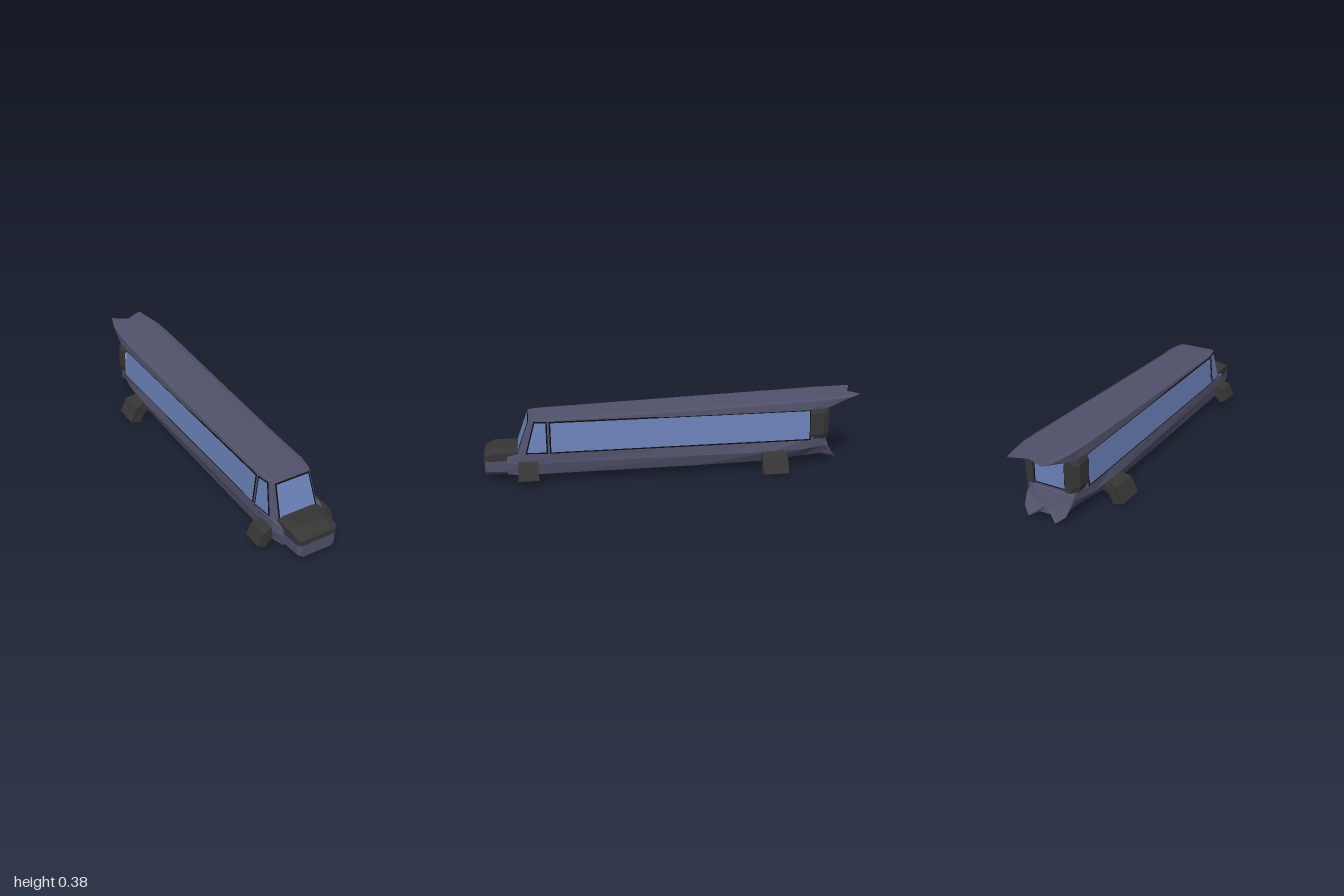
import * as THREE from 'three';

const COLORS = { hull: 0x50506a, dark: 0x363636, black: 0x0c0c0c, glass: 0x6a80b8, trim: 0xb4b4ac };
const mats = {};
for (const k in COLORS) {
  mats[k] = new THREE.MeshStandardMaterial({ color: COLORS[k], flatShading: true });
}

function meshFrom(name, mat, positions) {
  const g = new THREE.BufferGeometry();
  g.setAttribute('position', new THREE.Float32BufferAttribute(positions, 3));
  g.computeVertexNormals();
  const m = new THREE.Mesh(g, mats[mat]);
  m.name = name;
  return m;
}

// Closed solid through rings of [x, y, z] points; triangles are turned outward by signed volume
function loft(name, mat, rings) {
  const tris = [];
  const n = rings[0].length;
  for (let r = 0; r < rings.length - 1; r++) {
    for (let i = 0; i < n; i++) {
      const j = (i + 1) % n, a = rings[r], b = rings[r + 1];
      tris.push([a[i], a[j], b[j]], [a[i], b[j], b[i]]);
    }
  }
  const centre = ring => [0, 1, 2].map(k => ring.reduce((s, p) => s + p[k], 0) / n);
  const first = rings[0], last = rings[rings.length - 1];
  const c0 = centre(first), c1 = centre(last);
  for (let i = 0; i < n; i++) {
    const j = (i + 1) % n;
    tris.push([c0, first[j], first[i]], [c1, last[i], last[j]]);
  }
  let volume = 0;
  const v = [new THREE.Vector3(), new THREE.Vector3(), new THREE.Vector3()];
  for (const t of tris) {
    t.forEach((p, i) => v[i].fromArray(p));
    volume += v[0].dot(v[1].cross(v[2]));
  }
  if (volume < 0) tris.forEach(t => t.reverse());
  return meshFrom(name, mat, tris.flat(2));
}

// Mirror a half section (centre bottom to centre top) into a full ring; z is the default depth
function section(z, half) {
  const right = half.map(([x, y, pz = z]) => [x, y, pz]);
  const left = right.slice(1, -1).reverse().map(([x, y, pz]) => [-x, y, pz]);
  return right.concat(left);
}

const flip = pts => pts.map(([x, y, z]) => [-x, y, z]).reverse();

// Flat pane: corners shrunk by margin and lifted along the face normal
function pane(name, mat, corners, margin, lift) {
  const p = corners.map(c => new THREE.Vector3(...c));
  const n = p.length;
  const normal = p[1].clone().sub(p[0]).cross(p[n - 1].clone().sub(p[0])).normalize();
  const q = p.map((c, i) => {
    const a = p[(i + 1) % n].clone().sub(c).normalize();
    const b = p[(i + n - 1) % n].clone().sub(c).normalize();
    return c.clone().addScaledVector(a, margin).addScaledVector(b, margin).addScaledVector(normal, lift);
  });
  const pos = [];
  for (let i = 1; i < n - 1; i++) for (const c of [q[0], q[i], q[i + 1]]) pos.push(c.x, c.y, c.z);
  return meshFrom(name, mat, pos);
}

function windowPane(name, corners, margin) {
  const g = new THREE.Group();
  g.name = name;
  g.add(pane('windowFrame', 'black', corners, margin, 0.002));
  g.add(pane('windowGlass', 'glass', corners, margin + 0.007, 0.004));
  return g;
}

export function createModel() {
  const model = new THREE.Group();
  model.name = 'hoverLimousine';

  // Lower hull, ending in a forked skirt
  const hullSection = (z, bottomX, midX, topX, bottomY = 0.05, topY = 0.158) => section(z, [
    [0, bottomY], [0.035, bottomY], [0.075, bottomY], [bottomX, bottomY],
    [midX, 0.11], [topX, topY], [0, topY]]);
  model.add(loft('lowerHull', 'hull', [
    hullSection(0.885, 0.115, 0.122, 0.112, 0.05, 0.145),
    hullSection(0.82, 0.136, 0.144, 0.138),
    hullSection(0.66, 0.138, 0.147, 0.145),
    hullSection(-0.1, 0.14, 0.158, 0.15),
    hullSection(-0.5, 0.138, 0.168, 0.154, 0.053),
    hullSection(-0.68, 0.115, 0.152, 0.152, 0.062),
    section(-0.8, [[0, 0.058], [0.035, 0.058], [0.075, 0.053], [0.105, 0.066], [0.132, 0.12], [0.135, 0.16], [0, 0.16]]),
    section(-0.82, [[0, 0.044, -0.855], [0.03, 0.044, -0.855], [0.075, 0.027, -0.89],
      [0.115, 0.056, -0.86], [0.125, 0.11, -0.825], [0.1, 0.15, -0.815], [0, 0.15, -0.815]]),
  ]));

  // Nose with a dark hood
  const noseSection = (z, w) => section(z, [[0, 0.05], [w - 0.012, 0.05], [w, 0.065], [w, 0.123], [0, 0.123]]);
  model.add(loft('nose', 'hull', [
    noseSection(0.8, 0.122), noseSection(0.9, 0.114), noseSection(0.985, 0.106), noseSection(0.998, 0.092)]));
  const hoodSection = (z, w, shoulder, crown, crownW) => section(z, [
    [0, 0.121], [w, 0.121], [w, shoulder], [crownW, crown], [0, crown]]);
  model.add(loft('hood', 'dark', [
    hoodSection(0.815, 0.114, 0.164, 0.17, 0.085),
    hoodSection(0.88, 0.115, 0.167, 0.179, 0.072),
    hoodSection(0.945, 0.111, 0.165, 0.185, 0.062),
    hoodSection(0.985, 0.108, 0.152, 0.163, 0.075),
    hoodSection(1.0, 0.095, 0.147, 0.15, 0.08),
  ]));

  // Cabin walls: matching points along the sill and the roof line, from front to back
  const sill = [[0.112, 0.155, 0.83], [0.13, 0.155, 0.795], [0.143, 0.155, 0.67], [0.153, 0.155, -0.72], [0.1, 0.155, -0.808]];
  const eave = [[0.1, 0.33, 0.765], [0.112, 0.33, 0.745], [0.126, 0.33, 0.67], [0.136, 0.33, -0.72], [0.1, 0.33, -0.808]];
  model.add(loft('cabin', 'hull', [sill.concat(flip(sill)), eave.concat(flip(eave))]));

  // Windows
  const wall = i => [sill[i], sill[i + 1], eave[i + 1], eave[i]];
  for (const [i, name] of [[1, 'quarterWindow'], [2, 'sideWindow']]) {
    model.add(windowPane(name + 'Left', wall(i), 0.005));
    model.add(windowPane(name + 'Right', flip(wall(i)), 0.005));
  }
  const mirror = ([x, y, z]) => [-x, y, z];
  model.add(windowPane('windshield', [mirror(sill[0]), sill[0], eave[0], mirror(eave[0])], 0.004));
  model.add(windowPane('rearWindow', [sill[4], mirror(sill[4]), mirror(eave[4]), eave[4]], 0.012));

  // Roof, rising towards a swallow tail
  const roofSection = (z, bottomX, sideX, crownX, bottomY, sideY, crownY) => section(z, [
    [0, bottomY], [0.035, bottomY], [crownX - 0.01, bottomY], [bottomX, bottomY],
    [sideX, sideY], [crownX, crownY], [0.035, crownY], [0, crownY]]);
  model.add(loft('roof', 'hull', [
    roofSection(0.768, 0.104, 0.102, 0.092, 0.322, 0.328, 0.331),
    roofSection(0.7, 0.124, 0.12, 0.104, 0.322, 0.33, 0.335),
    roofSection(-0.1, 0.136, 0.132, 0.11, 0.322, 0.348, 0.358),
    roofSection(-0.7, 0.142, 0.136, 0.108, 0.323, 0.368, 0.376),
    roofSection(-0.82, 0.132, 0.132, 0.103, 0.332, 0.373, 0.381),
    section(-0.95, [[0, 0.379, -0.952], [0.035, 0.379, -0.952], [0.09, 0.383, -0.998], [0.113, 0.37, -0.93],
      [0.114, 0.376, -0.93], [0.091, 0.387, -1.0], [0.035, 0.384, -0.955], [0, 0.384, -0.955]]),
  ]));

  for (const s of [1, -1]) {
    const side = s > 0 ? 'Left' : 'Right';

    // Dark pillars wrapping the rear corners
    const pillar = (y, out) => [[0.09, -0.73], [out, -0.71], [out, -0.785], [out - 0.025, -0.82], [0.088, -0.82]]
      .map(([x, z]) => [s * x, y, z]);
    model.add(loft('rearPillar' + side, 'dark', [
      pillar(0.162, 0.143), pillar(0.19, 0.153), pillar(0.305, 0.153), pillar(0.328, 0.141)]));
    const strip = [[0.138, 0.18, -0.706], [0.152, 0.195, -0.706], [0.152, 0.303, -0.706], [0.138, 0.318, -0.706]];
    model.add(pane('pillarTrim' + side, 'trim', s > 0 ? strip : flip(strip), 0, 0.001));

    // Splayed feet, flaring outward
    const foot = (name, profile, z, inner, outer) => {
      const ring = d => profile.map(([x, y]) => [s * x, y, z + d * (x > 0.175 ? outer : inner)]);
      model.add(loft(name + side, 'dark', [ring(1), ring(-1)]));
    };
    foot('frontFoot', [[0.13, 0.128], [0.15, 0.122], [0.19, 0.108], [0.22, 0.045], [0.18, 0.023], [0.155, 0.045], [0.13, 0.055]],
      0.778, 0.048, 0.052);
    foot('rearFoot', [[0.13, 0.122], [0.16, 0.117], [0.22, 0.098], [0.26, 0.02], [0.2, 0.002], [0.168, 0.04], [0.13, 0.058]],
      -0.503, 0.055, 0.069);
  }
  return model;
}
